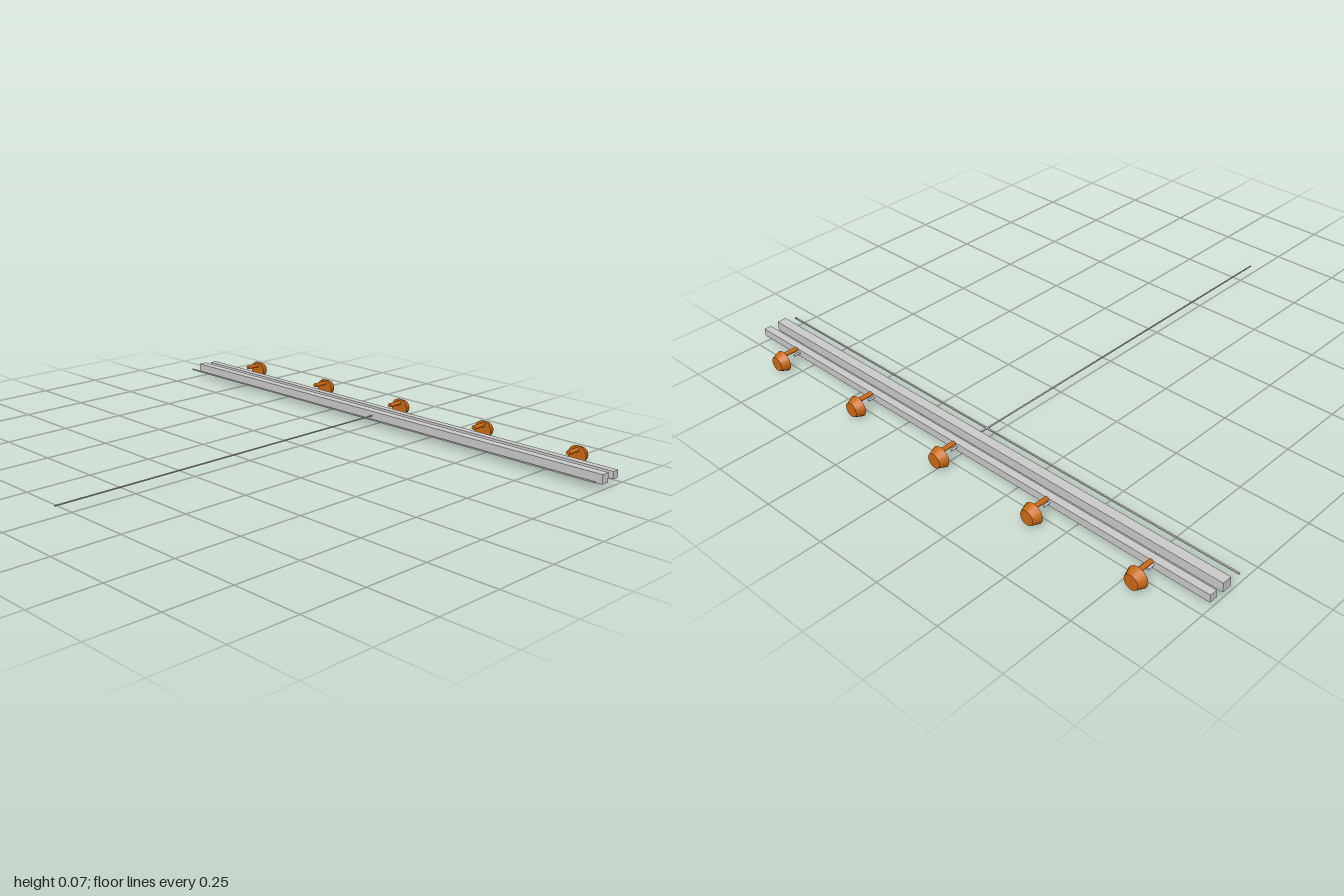
import * as THREE from 'three';

const grey = new THREE.MeshStandardMaterial({ color: 0xcccccc });
const orange = new THREE.MeshStandardMaterial({ color: 0xcc6a14 });
const MID = 0.037; // common height of bars and knobs

function box(parent, name, w, h, d, x, y, z) {
  const mesh = new THREE.Mesh(new THREE.BoxGeometry(w, h, d), grey);
  mesh.name = name;
  mesh.position.set(x, y, z);
  parent.add(mesh);
}

// Cylinder along z, with separate radii at its front (+z) and back ends
function zCylinder(parent, name, rFront, rBack, zFront, zBack, y, sides, material) {
  const geometry = new THREE.CylinderGeometry(rFront, rBack, zFront - zBack, sides);
  geometry.rotateX(Math.PI / 2);
  const mesh = new THREE.Mesh(geometry, material);
  mesh.name = name;
  mesh.position.set(0, y, (zFront + zBack) / 2);
  parent.add(mesh);
}

export function createModel() {
  const model = new THREE.Group();
  model.name = 'barAssembly';

  // Two long square bars and the thin wire in front of them
  box(model, 'mainBar', 2, 0.034, 0.034, 0, MID, -0.645);
  box(model, 'rearBar', 2, 0.027, 0.027, 0, MID, -0.705);
  box(model, 'frontWire', 2, 0.005, 0.005, 0, MID, -0.588);

  // Long thin shaft running forward from the main bar
  zCylinder(model, 'centreShaft', 0.0027, 0.0027, 0.813, -0.63, MID, 8, grey);

  // Five knobs, each with a raised pin and a short stub behind the rear bar
  for (let i = -2; i <= 2; i++) {
    const knob = new THREE.Group();
    knob.name = 'knob';
    knob.position.x = i * 0.4;
    zCylinder(knob, 'knobStub', 0.004, 0.004, -0.715, -0.742, MID, 8, grey);
    zCylinder(knob, 'knobPin', 0.008, 0.008, -0.727, -0.785, 0.058, 12, orange);
    zCylinder(knob, 'knobCap', 0.037, 0.026, -0.783, -0.813, MID, 16, orange);
    model.add(knob);
  }
  return model;
}
